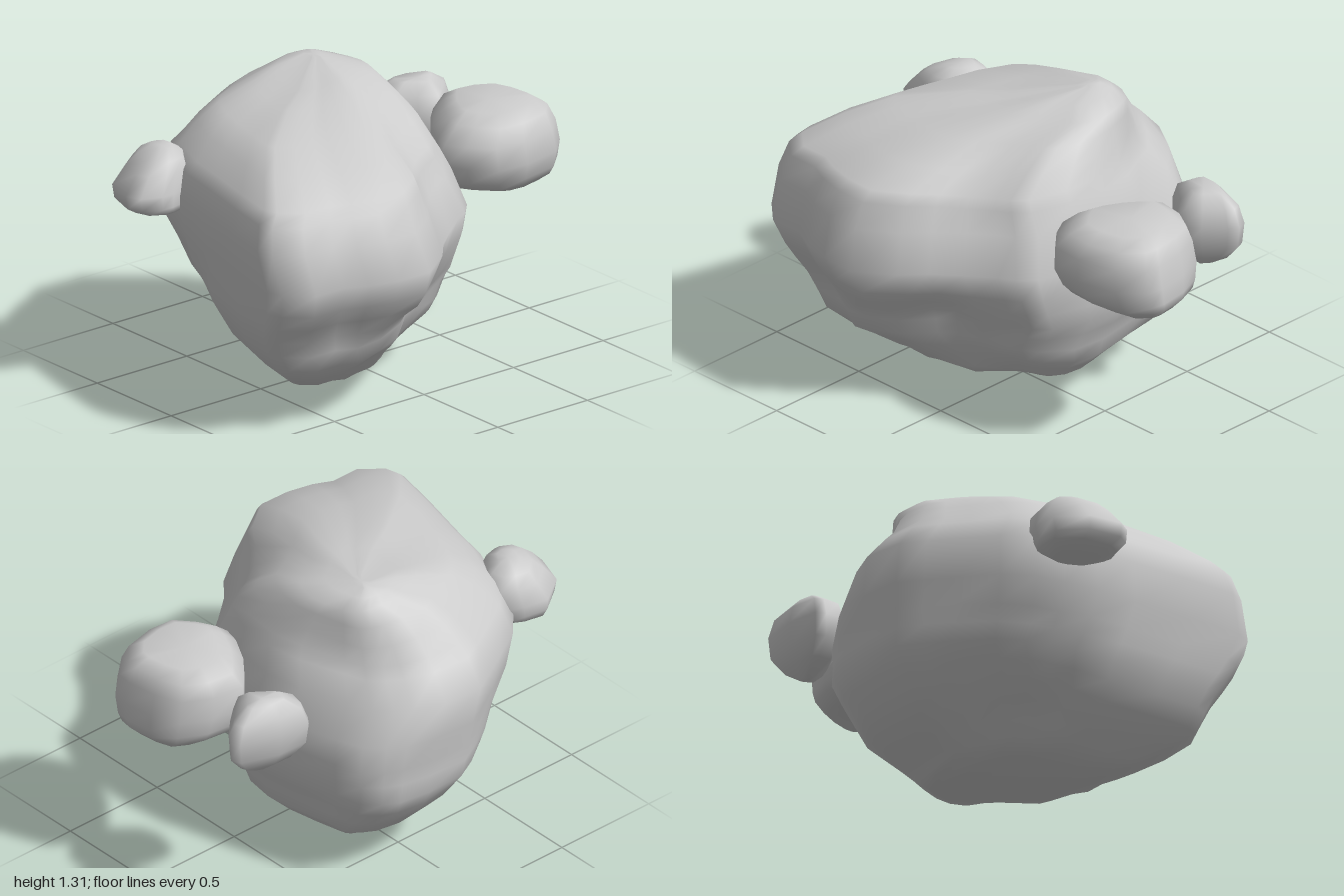
import * as THREE from 'three';

const material = new THREE.MeshStandardMaterial({ color: 0xcccccc });

// Loft a rock: a plan outline [x, z] is fitted to each level [y, xMin, xMax, zMin, zMax].
// Dents [x, y, z, radius, depth] pull nearby vertices toward the rock's middle (negative depth bulges).
function rock(name, outline, levels, dents = []) {
  const xs = outline.map(p => p[0]), zs = outline.map(p => p[1]);
  const x0 = Math.min(...xs), z0 = Math.min(...zs);
  const w = Math.max(...xs) - x0, d = Math.max(...zs) - z0;
  const n = outline.length, pos = [], index = [];
  const middle = new THREE.Vector3(x0 + w / 2, (levels[0][0] + levels[levels.length - 1][0]) / 2, z0 + d / 2);

  const add = (x, y, z) => {
    const v = new THREE.Vector3(x, y, z);
    for (const [dx, dy, dz, r, depth] of dents) {
      const t = v.distanceTo(new THREE.Vector3(dx, dy, dz)) / r;
      if (t < 1) v.addScaledVector(middle.clone().sub(v).normalize(), depth * (1 - t * t));
    }
    pos.push(v.x, v.y, v.z);
  };

  // Rings from bottom to top
  for (const [y, xa, xb, za, zb] of levels)
    for (const [x, z] of outline)
      add(xa + (x - x0) / w * (xb - xa), y, za + (z - z0) / d * (zb - za));
  for (let j = 0; j < levels.length - 1; j++)
    for (let i = 0; i < n; i++) {
      const a = j * n + i, b = j * n + (i + 1) % n;
      index.push(a, a + n, b, b, a + n, b + n);
    }

  // Caps
  const last = (levels.length - 1) * n;
  for (const [y, xa, xb, za, zb] of [levels[0], levels[levels.length - 1]])
    add((xa + xb) / 2, y, (za + zb) / 2);
  for (let i = 0; i < n; i++) {
    const k = (i + 1) % n;
    index.push(last + n, i, k, last + n + 1, last + k, last + i);
  }

  const geometry = new THREE.BufferGeometry();
  geometry.setAttribute('position', new THREE.Float32BufferAttribute(pos, 3));
  geometry.setIndex(index);
  geometry.computeVertexNormals();
  const mesh = new THREE.Mesh(geometry, material);
  mesh.name = name;
  return mesh;
}

export function createModel() {
  const group = new THREE.Group();
  group.name = 'rockCluster';

  // Large slanted boulder
  group.add(rock('mainBoulder', [
    [-0.83, 0.15], [-0.82, -0.05], [-0.79, -0.2], [-0.75, -0.28], [-0.68, -0.36], [-0.55, -0.4],
    [-0.3, -0.46], [-0.1, -0.49], [0.1, -0.47], [0.3, -0.41], [0.37, -0.34], [0.41, -0.27],
    [0.5, -0.15], [0.6, -0.03], [0.7, 0.06], [0.82, 0.23], [0.815, 0.4], [0.78, 0.54],
    [0.73, 0.64], [0.73, 0.8], [0.63, 0.91], [0.55, 0.93], [0.3, 0.88], [0, 0.81],
    [-0.2, 0.77], [-0.35, 0.71], [-0.48, 0.66], [-0.6, 0.55], [-0.7, 0.38], [-0.77, 0.26],
  ], [
    [0, -0.3, -0.08, -0.13, -0.02],
    [0.02, -0.36, 0.03, -0.17, 0.15],
    [0.05, -0.39, 0.22, -0.22, 0.35],
    [0.08, -0.42, 0.32, -0.26, 0.48],
    [0.13, -0.48, 0.42, -0.31, 0.56],
    [0.2, -0.57, 0.53, -0.38, 0.66],
    [0.28, -0.65, 0.62, -0.4, 0.75],
    [0.36, -0.72, 0.64, -0.43, 0.8],
    [0.44, -0.78, 0.67, -0.47, 0.84],
    [0.52, -0.79, 0.72, -0.475, 0.87],
    [0.6, -0.8, 0.77, -0.48, 0.89],
    [0.72, -0.815, 0.82, -0.48, 0.92],
    [0.89, -0.83, 0.76, -0.43, 0.93],
    [1.0, -0.74, 0.71, -0.39, 0.9],
    [1.05, -0.69, 0.67, -0.36, 0.85],
    [1.13, -0.63, 0.5, -0.33, 0.74],
    [1.2, -0.55, 0.3, -0.29, 0.6],
    [1.26, -0.48, 0.05, -0.26, 0.35],
    [1.29, -0.44, -0.08, -0.17, 0.18],
    [1.31, -0.39, -0.28, -0.1, -0.03],
  ], [
    [0.6, 0.45, 0, 0.28, 0.03],
    [0.56, 0.24, 0.08, 0.36, 0.09],
    [0.3, 0.15, -0.2, 0.32, 0.05],
    [-0.4, 0.3, 0.58, 0.42, 0.09],
    [-0.2, 0.08, 0.33, 0.3, 0.04],
    [-0.6, 0.25, -0.15, 0.32, -0.04],
    [-0.15, 1.24, 0.24, 0.26, 0.03],
    [-0.65, 1.02, -0.33, 0.36, 0.1],
    [0.4, 1.08, -0.15, 0.32, 0.05],
  ]));

  // Small rock at the front
  group.add(rock('frontRock', [
    [-0.55, 0.82], [-0.53, 0.7], [-0.49, 0.61], [-0.4, 0.59], [-0.34, 0.61], [-0.22, 0.72],
    [-0.2, 0.82], [-0.2, 0.88], [-0.24, 0.97], [-0.31, 1.0], [-0.46, 0.95],
  ], [
    [0.8, -0.46, -0.28, 0.7, 0.87],
    [0.83, -0.53, -0.21, 0.64, 0.94],
    [0.86, -0.54, -0.2, 0.61, 0.99],
    [0.92, -0.55, -0.2, 0.59, 1.0],
    [1.0, -0.52, -0.23, 0.6, 0.93],
    [1.05, -0.48, -0.25, 0.65, 0.87],
    [1.08, -0.43, -0.31, 0.7, 0.8],
  ]));

  // Larger rock at the back
  group.add(rock('backRock', [
    [-0.22, -0.65], [-0.2, -0.8], [-0.13, -0.93], [0, -0.98], [0.15, -1.0], [0.22, -0.99],
    [0.32, -0.89], [0.36, -0.7], [0.35, -0.55], [0.25, -0.46], [0.16, -0.41], [0.08, -0.43], [-0.05, -0.5],
    [-0.15, -0.58],
  ], [
    [0.68, -0.1, 0.22, -0.94, -0.64],
    [0.73, -0.18, 0.3, -0.99, -0.47],
    [0.77, -0.2, 0.33, -1.0, -0.43],
    [0.85, -0.22, 0.36, -1.0, -0.4],
    [0.95, -0.21, 0.35, -0.98, -0.4],
    [1.02, -0.18, 0.31, -0.95, -0.48],
    [1.06, -0.11, 0.24, -0.89, -0.55],
  ]));

  // Small pointed rock at the back
  group.add(rock('backSmallRock', [
    [-0.54, -0.55], [-0.535, -0.7], [-0.47, -0.88], [-0.42, -0.9], [-0.38, -0.87], [-0.3, -0.79],
    [-0.24, -0.72], [-0.3, -0.63], [-0.37, -0.54], [-0.41, -0.5], [-0.5, -0.52],
  ], [
    [0.67, -0.43, -0.36, -0.75, -0.68],
    [0.72, -0.49, -0.3, -0.83, -0.58],
    [0.79, -0.53, -0.25, -0.89, -0.51],
    [0.89, -0.54, -0.24, -0.9, -0.5],
    [0.97, -0.52, -0.27, -0.87, -0.53],
    [1.02, -0.47, -0.33, -0.79, -0.61],
  ]));

  return group;
}
